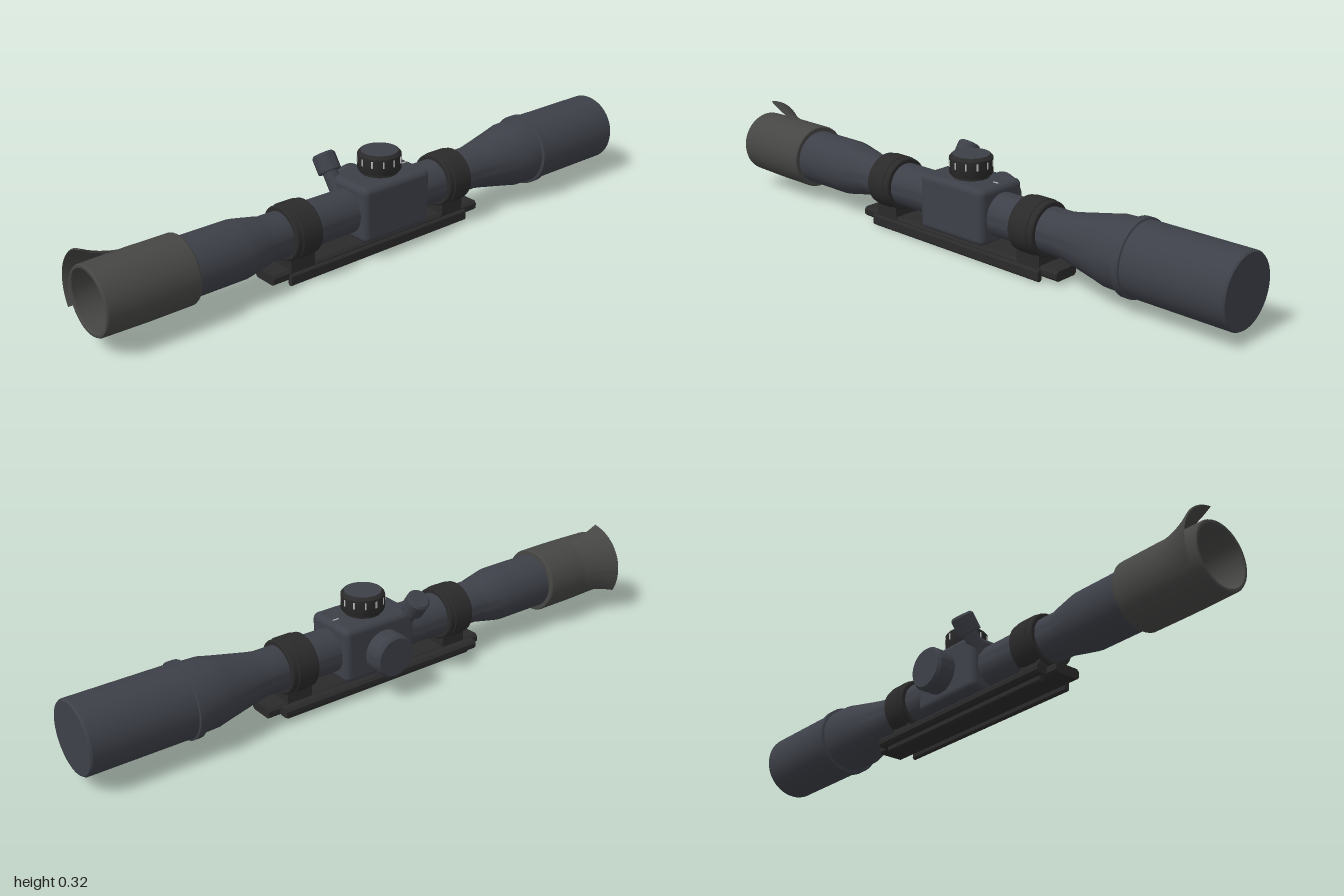
import * as THREE from 'three';
import { toCreasedNormals } from 'three/addons/utils/BufferGeometryUtils.js';
import { RoundedBoxGeometry } from 'three/addons/geometries/RoundedBoxGeometry.js';

const AX = 0.023, AY = 0.15; // optical axis
const mat = (color, side = THREE.FrontSide) => new THREE.MeshStandardMaterial({ color, side });

export function createModel() {
  const group = new THREE.Group();
  const body = mat(0x3d4048), dark = mat(0x2a2a2a), rubber = mat(0x464645, THREE.DoubleSide);
  const glass = mat(0x566476), white = mat(0xb8b8b8);

  const add = (name, geometry, material, x = 0, y = 0, z = 0, parent = group) => {
    const mesh = new THREE.Mesh(geometry, material);
    mesh.name = name;
    mesh.position.set(x, y, z);
    parent.add(mesh);
    return mesh;
  };
  // Profile of [radius, height] pairs turned about y
  const turn = (pts, start = 0, length = Math.PI * 2, segments = 48) =>
    toCreasedNormals(new THREE.LatheGeometry(pts.map(p => new THREE.Vector2(...p)), segments, start, length), 0.5);
  // Same, laid along the optical axis
  const barrel = (name, pts, material, z = 0, start, length) =>
    add(name, turn(pts, start, length).rotateX(Math.PI / 2), material, AX, AY, z);
  // Bar of bevelled section running along z
  const bar = (name, x0, x1, y0, y1, z0, z1, c) => {
    const s = new THREE.Shape([
      [x0 + c, y0], [x1 - c, y0], [x1, y0 + c], [x1, y1 - c],
      [x1 - c, y1], [x0 + c, y1], [x0, y1 - c], [x0, y0 + c],
    ].map(p => new THREE.Vector2(...p)));
    add(name, new THREE.ExtrudeGeometry(s, { depth: z1 - z0, bevelEnabled: false }), dark, 0, 0, z0);
  };

  // Main tube with objective bell and eyepiece
  barrel('mainTube', [
    [0, -1], [0.108, -1], [0.112, -0.994], [0.112, -0.67], [0.118, -0.668], [0.118, -0.646],
    [0.109, -0.643], [0.107, -0.58], [0.1, -0.55], [0.075, -0.43], [0.07, -0.4], [0.07, 0.43],
    [0.075, 0.45], [0.088, 0.515], [0.09, 0.53], [0.09, 0.72], [0, 0.72],
  ], body);

  // Hollow rubber eyecup
  barrel('eyecup', [
    [0.09, 0.71], [0.103, 0.71], [0.106, 0.715], [0.106, 0.85], [0.103, 0.995],
    [0.1, 1], [0.093, 1], [0.09, 0.996], [0.09, 0.79],
  ], rubber);
  barrel('lensRetainer', [[0.09, 0.79], [0.083, 0.79], [0.078, 0.76]], mat(0x2a2a2a, THREE.DoubleSide));
  add('eyeLens', new THREE.CircleGeometry(0.08, 48), glass, AX, AY, 0.765);

  // Flared light shield on one side of the eyecup
  barrel('eyeShield', [[0.104, 0.86], [0.108, 0.89], [0.118, 0.93], [0.131, 0.965], [0.145, 0.993], [0.142, 0.997],
    [0.128, 0.968], [0.115, 0.935], [0.104, 0.9]], rubber, 0,
  THREE.MathUtils.degToRad(189), THREE.MathUtils.degToRad(110));

  // Turret housing
  add('turretHousing', new RoundedBoxGeometry(0.184, 0.18, 0.265, 3, 0.02), body, AX, 0.154, -0.013);
  add('indexMark', new THREE.BoxGeometry(0.005, 0.002, 0.02), white, AX, 0.2445, -0.118);

  // Elevation knob with graduation marks
  const elevation = new THREE.Group();
  elevation.name = 'elevationKnob';
  elevation.position.set(AX, 0.24, -0.015);
  group.add(elevation);
  add('elevationCap', turn([
    [0.058, 0], [0.058, 0.012], [0.066, 0.014], [0.068, 0.018], [0.068, 0.066], [0.06, 0.075], [0, 0.075],
  ]), dark, 0, 0, 0, elevation);
  add('elevationTop', new THREE.CircleGeometry(0.058, 48).rotateX(-Math.PI / 2), body, 0, 0.0755, 0, elevation);
  for (let i = 0; i < 12; i++) {
    const a = i * Math.PI / 6;
    const mark = add('graduation', new THREE.BoxGeometry(0.005, 0.021, 0.004), white,
      Math.sin(a) * 0.068, 0.049, Math.cos(a) * 0.068, elevation);
    mark.rotation.y = a;
  }

  // Side knob
  const side = add('sideKnob', turn([
    [0.05, -0.01], [0.05, 0.01], [0.066, 0.012], [0.069, 0.016], [0.069, 0.066], [0.061, 0.076], [0, 0.076],
  ]), body, -0.068, AY, -0.015);
  side.rotation.z = Math.PI / 2;

  // Small tilted knob on a stem
  const tilted = add('tiltedKnob', turn([
    [0.024, -0.09], [0.024, 0], [0.035, 0], [0.037, 0.003], [0.037, 0.054], [0.031, 0.061], [0, 0.061],
  ], 0, Math.PI * 2, 32), body, -0.067, 0.246, 0.107);
  tilted.rotation.z = 0.61;

  // Clamp rings with feet on the rail
  for (const z of [0.322, -0.288]) {
    barrel('mountRing', [
      [0.069, -0.048], [0.081, -0.048], [0.085, -0.044], [0.085, -0.028], [0.088, -0.026],
      [0.088, 0.026], [0.085, 0.028], [0.085, 0.044], [0.081, 0.048], [0.069, 0.048],
    ], dark, z);
    add('ringFoot', new THREE.BoxGeometry(0.09, 0.045, 0.088), dark, AX, 0.06, z);
  }

  // Mounting rail with clamp bar and lower lips
  bar('railBase', -0.022, 0.068, 0.014, 0.046, -0.4, 0.43, 0.008);
  bar('clampBar', -0.058, -0.02, 0.018, 0.048, -0.36, 0.39, 0.008);
  bar('lip', -0.036, -0.02, 0, 0.036, -0.34, 0.375, 0.005);
  bar('lip', 0.065, 0.081, 0, 0.036, -0.34, 0.375, 0.005);

  return group;
}
